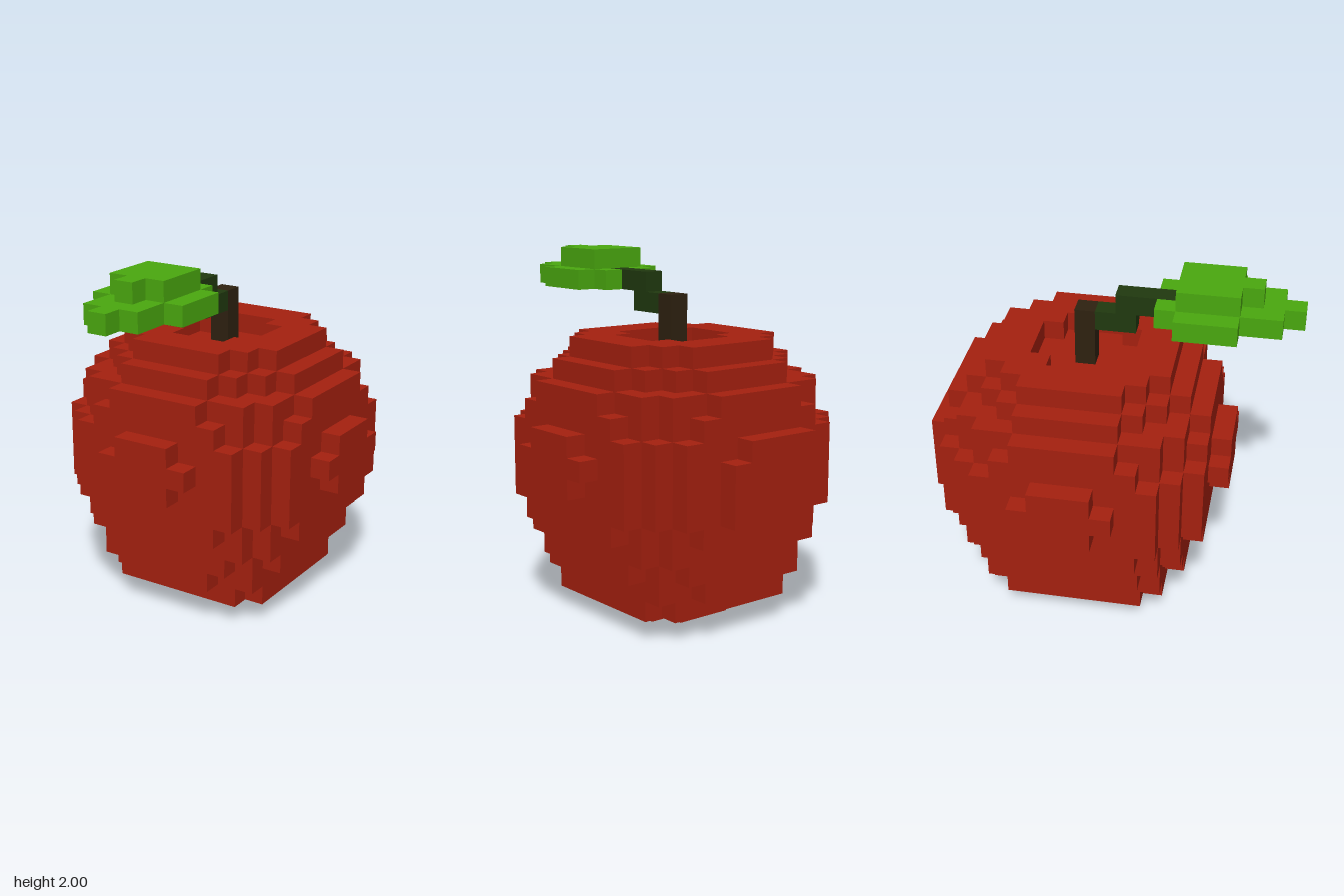
import * as THREE from 'three';
import { mergeGeometries } from 'three/addons/utils/BufferGeometryUtils.js';

const V = 2 / 18;    // edge of one cube
const CZ = -1.5;     // fruit axis along z, in cubes

// One cube side for each direction, pushed out to the cube's surface
const SIDES = [
  [[0, 0, 1], 0, 0], [[0, 0, -1], 0, Math.PI],
  [[1, 0, 0], 0, Math.PI / 2], [[-1, 0, 0], 0, -Math.PI / 2],
  [[0, 1, 0], -Math.PI / 2, 0], [[0, -1, 0], Math.PI / 2, 0],
];

// Mesh of the exposed cube sides only
function cubeMesh(name, cells, material) {
  const key = (x, y, z) => `${x},${y},${z}`;
  const filled = new Set(cells.map((c) => key(...c)));
  const faces = [];
  for (const [x, y, z] of cells) {
    for (const [d, rx, ry] of SIDES) {
      if (filled.has(key(x + d[0], y + d[1], z + d[2]))) continue;
      faces.push(new THREE.PlaneGeometry(V, V).rotateX(rx).rotateY(ry).translate(
        (x + d[0] / 2) * V, (y + 0.5 + d[1] / 2) * V, (z + CZ + d[2] / 2) * V));
    }
  }
  const mesh = new THREE.Mesh(mergeGeometries(faces), material);
  mesh.name = name;
  return mesh;
}

// Solid block of cells between inclusive corners
function block(x0, x1, y0, y1, z0, z1) {
  const out = [];
  for (let x = x0; x <= x1; x++)
    for (let y = y0; y <= y1; y++)
      for (let z = z0; z <= z1; z++) out.push([x, y, z]);
  return out;
}

// Fruit layers from the bottom up: squared radius, x limit, z limit
const LAYERS = [
  [6, 2, 2], [25, 4, 4], [32, 4, 5], [34, 5, 5], [41, 5, 5], [45, 6, 6], [52, 6, 6],
  [52, 7, 7], [53, 7, 7], [52, 7, 7], [45, 6, 6], [42, 6, 6], [30, 5, 5], [20, 4, 4],
];

function fruitCells() {
  const cells = [];
  LAYERS.forEach(([r2, mx, mz], y) => {
    for (const [x, , z] of block(-mx, mx, 0, 0, -mz, mz)) {
      const d = x * x + z * z;
      const hollow = y === 13 && d <= 5;         // dip around the stem
      const backPatch = y >= 6 && y <= 9 && z === -7;
      if (d <= r2 && !hollow && !backPatch) cells.push([x, y, z]);
    }
  });
  // larger raised patch on the back, with one corner missing
  cells.push(...block(-2, 2, 6, 8, -7, -7), ...block(-2, 1, 9, 9, -7, -7));
  return cells;
}

export function createModel() {
  const mat = (name, color) => {
    const m = new THREE.MeshStandardMaterial({ color });
    m.name = name;
    return m;
  };
  const red = mat('red skin', 0xa5200f);
  const brown = mat('dark brown', 0x2e2110);
  const darkGreen = mat('dark green', 0x20390f);
  const green = mat('leaf green', 0x4aa80f);

  const group = new THREE.Group();
  group.name = 'apple';
  group.add(cubeMesh('fruit', fruitCells(), red));
  group.add(cubeMesh('stem', block(0, 0, 13, 15, 0, 0), brown));

  // Stalk stepping up from the stem into the leaf
  group.add(cubeMesh('leafStalk', [
    ...block(0, 0, 15, 15, 1, 2), ...block(0, 0, 16, 16, 2, 4)], darkGreen));

  // Leaf: notched around the stalk, tapering to the front, with a raised top
  group.add(cubeMesh('leaf', [
    ...block(-1, -1, 16, 16, 4, 4), ...block(1, 1, 16, 16, 4, 4),
    ...block(-2, 2, 16, 16, 5, 7), ...block(-1, 1, 16, 16, 8, 9), [0, 16, 10],
    ...block(-1, 1, 17, 17, 5, 7), [0, 17, 8]], green));
  return group;
}
